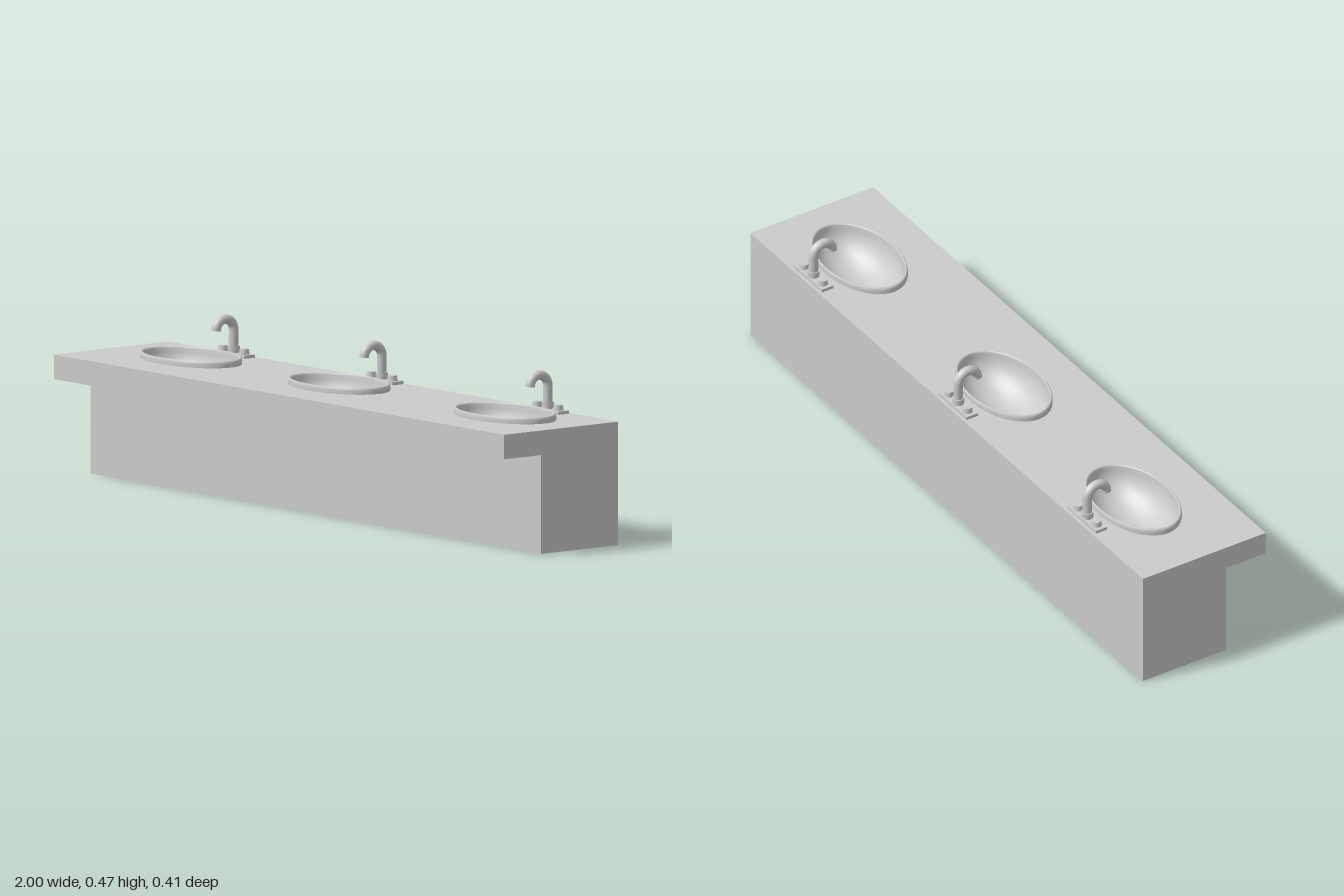
import * as THREE from 'three';

const TOP = 0.347;              // countertop height
const SINK_X = [-0.673, -0.015, 0.722];
const SINK_Z = -0.0235, RX = 0.179, RZ = 0.1125;

const grey = new THREE.MeshStandardMaterial({ color: 0xcccccc });
const greyDouble = new THREE.MeshStandardMaterial({ color: 0xcccccc, side: THREE.DoubleSide });

function add(parent, name, geometry, x = 0, y = 0, z = 0, material = grey) {
  const mesh = new THREE.Mesh(geometry, material);
  mesh.name = name;
  mesh.position.set(x, y, z);
  parent.add(mesh);
  return mesh;
}

// Overhanging cabinet: an L-shaped section swept along x, left open on top
function cabinetGeometry() {
  const section = new THREE.Shape([
    [0.204, 0], [0.204, TOP], [-0.204, TOP], [-0.204, 0.278], [-0.072, 0.278], [-0.072, 0],
  ].map(([x, y]) => new THREE.Vector2(x, y)));
  const solid = new THREE.ExtrudeGeometry(section, { depth: 2, bevelEnabled: false });
  const pos = solid.attributes.position, normal = solid.attributes.normal;
  const kept = [];
  for (let i = 0; i < pos.count; i += 3) if (normal.getY(i) < 0.9) kept.push(i, i + 1, i + 2);
  solid.setIndex(kept);
  solid.clearGroups();
  return solid.translate(0, 0, -1).rotateY(Math.PI / 2);
}

// Countertop surface with an oval opening for each basin
function countertopGeometry() {
  const shape = new THREE.Shape();
  shape.moveTo(-1, -0.204).lineTo(1, -0.204).lineTo(1, 0.204).lineTo(-1, 0.204).closePath();
  for (const x of SINK_X) {
    const hole = new THREE.Path();
    hole.absellipse(x, -SINK_Z, RX * 0.97, RZ * 0.97, 0, Math.PI * 2, true);
    shape.holes.push(hole);
  }
  return new THREE.ShapeGeometry(shape, 32).rotateX(-Math.PI / 2);
}

// Oval bowl with a raised, rounded rim
function basinGeometry() {
  const profile = [];
  const depth = 0.105;
  for (let i = 0; i <= 14; i++) {
    const a = (i / 14) * Math.PI / 2;
    profile.push(new THREE.Vector2(0.94 * Math.sin(a), 0.014 - depth * Math.cos(a)));
  }
  for (const [r, y] of [[0.955, 0.018], [0.975, 0.0185], [0.992, 0.016], [1, 0.01], [1, 0]]) {
    profile.push(new THREE.Vector2(r, y));
  }
  return new THREE.LatheGeometry(profile, 64).scale(RX, 1, RZ);
}

// Faucet: base plate, two knobs, collar and gooseneck spout
function makeFaucet() {
  const faucet = new THREE.Group();
  faucet.name = 'faucet';
  add(faucet, 'basePlate', new THREE.BoxGeometry(0.144, 0.009, 0.038), 0, 0.0045, 0);
  for (const side of [-1, 1]) {
    add(faucet, 'knob', new THREE.CylinderGeometry(0.013, 0.015, 0.016, 20), side * 0.047, 0.016, 0);
  }
  add(faucet, 'collarBase', new THREE.CylinderGeometry(0.0165, 0.0165, 0.007, 24), 0, 0.0125, 0);
  add(faucet, 'collarNut', new THREE.CylinderGeometry(0.0175, 0.0175, 0.012, 8), 0, 0.021, 0);

  const bend = 0.0315, r = 0.0135, bendY = 0.074;
  const points = [0.009, 0.03, 0.05].map((y) => new THREE.Vector3(0, y, 0));
  for (let i = 0; i <= 12; i++) {
    const a = (i / 12) * Math.PI;
    points.push(new THREE.Vector3(0, bendY + bend * Math.sin(a), bend * (1 - Math.cos(a))));
  }
  add(faucet, 'spout', new THREE.TubeGeometry(new THREE.CatmullRomCurve3(points), 48, r, 20));
  add(faucet, 'spoutEnd', new THREE.CircleGeometry(r, 20).rotateX(Math.PI / 2), 0, bendY, bend * 2);
  return faucet;
}

export function createModel() {
  const model = new THREE.Group();
  model.name = 'tripleWashbasin';
  add(model, 'cabinet', cabinetGeometry(), 0, 0, 0, greyDouble);
  add(model, 'countertop', countertopGeometry(), 0, TOP, 0, greyDouble);

  for (const x of SINK_X) {
    const station = new THREE.Group();
    station.name = 'washStation';
    station.position.set(x, TOP, 0);
    add(station, 'basin', basinGeometry(), 0, 0, SINK_Z, greyDouble);
    add(station, 'drain', new THREE.CylinderGeometry(0.022, 0.022, 0.006, 24), 0, -0.089, SINK_Z - 0.004);
    const faucet = makeFaucet();
    faucet.position.z = -0.1755;
    station.add(faucet);
    model.add(station);
  }
  return model;
}
